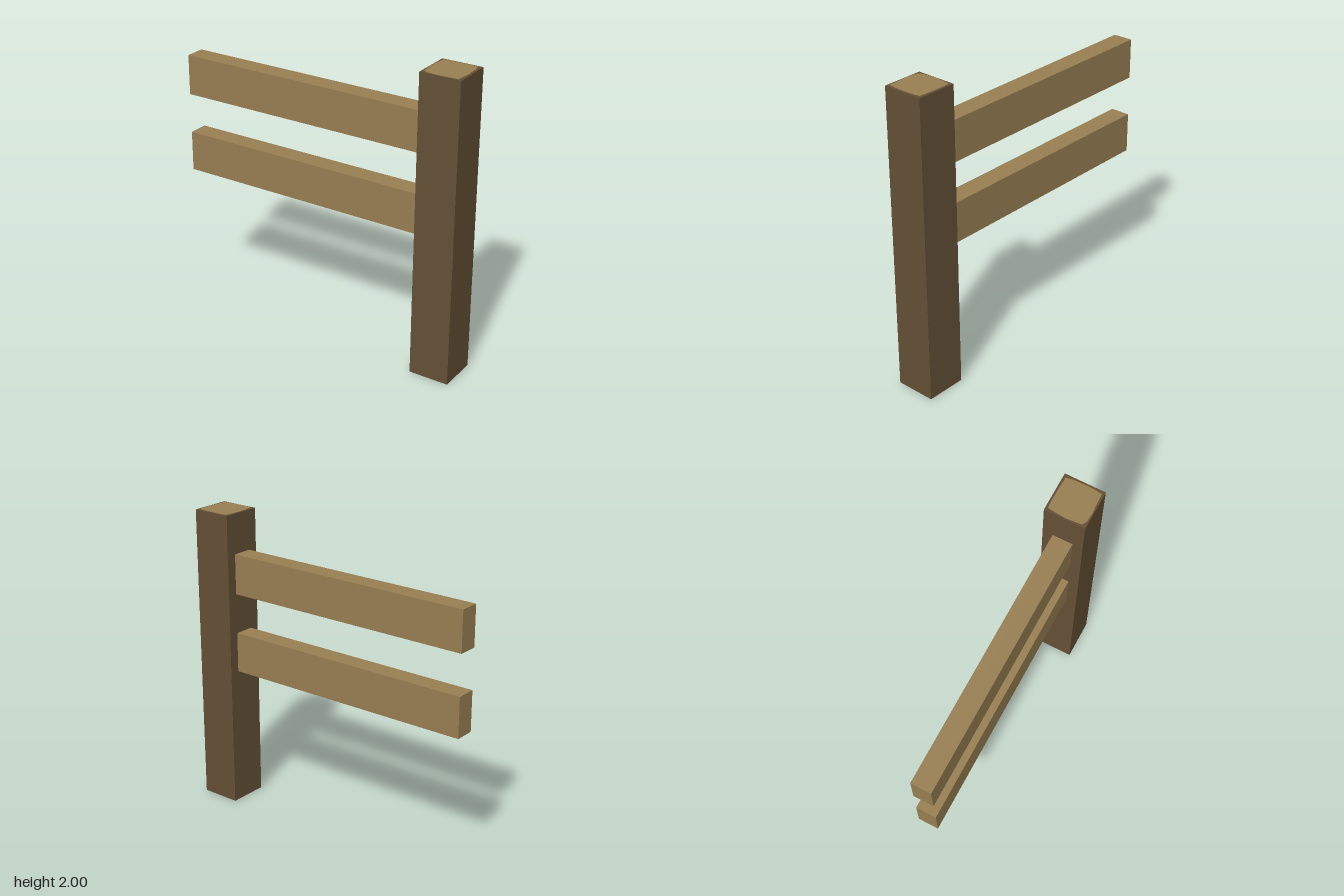
import * as THREE from 'three';

export function createModel() {
  const model = new THREE.Group();
  const darkBark = new THREE.MeshStandardMaterial({ name: 'darkBark', color: 0x644f35 });
  const lightWood = new THREE.MeshStandardMaterial({ name: 'lightWood', color: 0x987e52 });

  const add = (name, geometry, material, x, y, z) => {
    const mesh = new THREE.Mesh(geometry, material);
    mesh.name = name;
    mesh.position.set(x, y, z);
    model.add(mesh);
    return mesh;
  };

  // Square post, a hair short at both ends to leave room for the cut-wood plates
  const size = 0.267, plate = 0.003, postX = 1 - size / 2;
  add('post', new THREE.BoxGeometry(size, 2 - 2 * plate, size), darkBark, postX, 1, 0);

  // Two rails butting against the post
  const railLength = 2 - size;
  [['lowerRail', 1.067], ['upperRail', 1.6]].forEach(([name, y]) =>
    add(name, new THREE.BoxGeometry(railLength, size, 0.133), lightWood, -1 + railLength / 2, y, 0));

  // Cut wood on the post ends, with a slightly uneven outline inside the bark
  const outline = [
    [-0.113, -0.118], [-0.06, -0.121], [0.05, -0.119], [0.11, -0.116],
    [0.118, -0.07], [0.121, 0.02], [0.117, 0.08], [0.112, 0.119],
    [0.05, 0.122], [-0.02, 0.126], [-0.09, 0.122], [-0.117, 0.105],
    [-0.122, 0.05], [-0.126, 0], [-0.12, -0.07],
  ].map(([x, z]) => new THREE.Vector2(x, -z));
  const endGrain = new THREE.ExtrudeGeometry(new THREE.Shape(outline), { depth: plate, bevelEnabled: false });
  endGrain.rotateX(-Math.PI / 2);
  add('topEndGrain', endGrain, lightWood, postX, 2 - plate, 0);
  add('bottomEndGrain', endGrain, lightWood, postX, 0, 0);

  return model;
}
